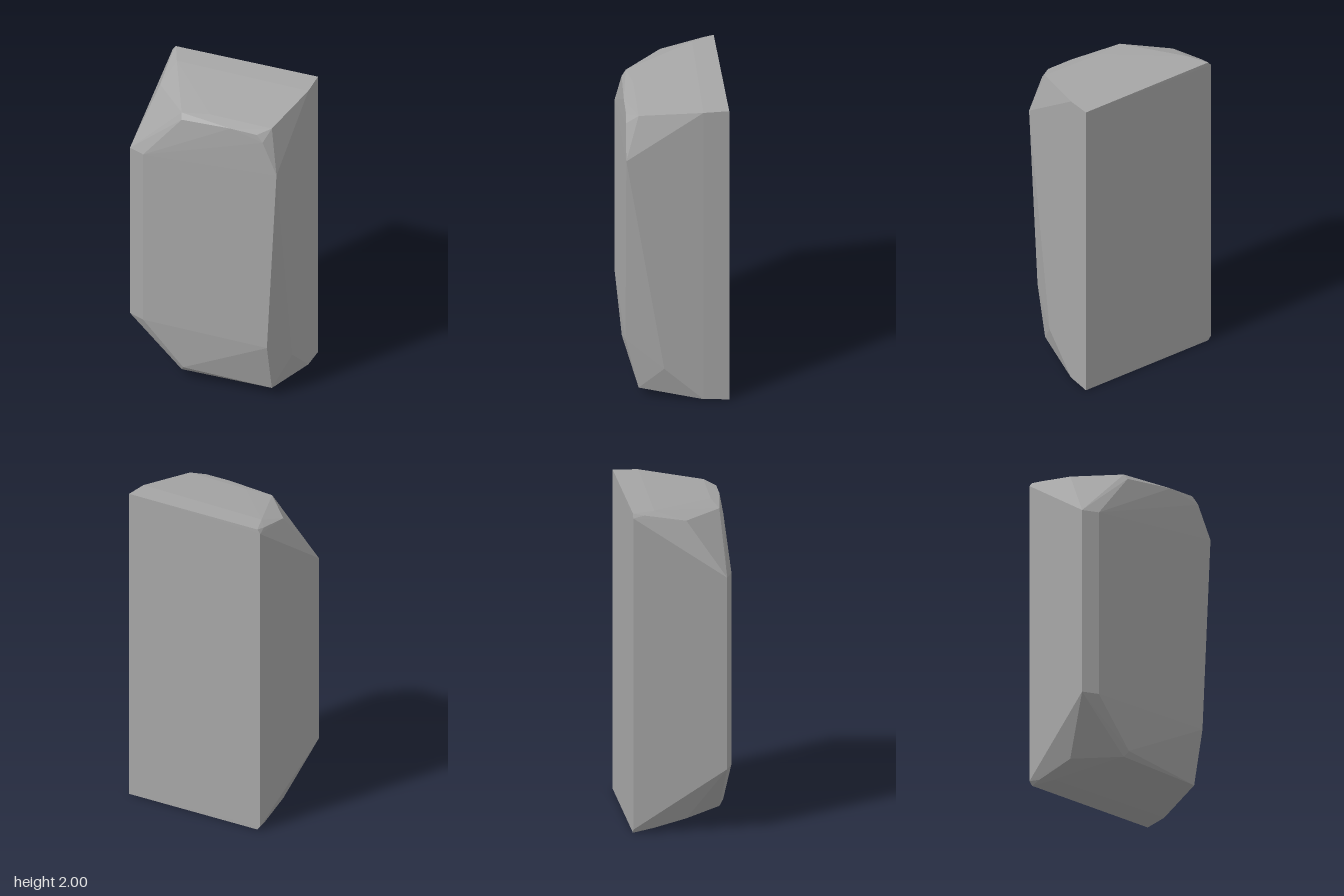
import * as THREE from 'three';
import { ConvexGeometry } from 'three/addons/geometries/ConvexGeometry.js';

export function createModel() {
  const group = new THREE.Group();
  group.name = 'stoneBlock';

  const stone = new THREE.MeshStandardMaterial({ color: 0xa6a6a6 });
  stone.name = 'grey stone';

  // Corners of the chipped block, cut from one convex slab
  const corners = [
    // back edges, with a small nick on the -x side
    [0.49, 2, -0.31], [0.49, 0, -0.31],
    [-0.42, 2, -0.29], [-0.42, 0, -0.29],
    [-0.44, 1.975, -0.29], [-0.44, 0.025, -0.29],
    // flat strips along the top and bottom
    [0.49, 1.995, -0.155], [-0.36, 1.995, -0.155], [-0.42, 1.985, -0.22],
    [0.49, 0.008, -0.155], [-0.36, 0.008, -0.155], [-0.42, 0.015, -0.22],
    // bevelled -x front edge
    [-0.49, 1.6, 0.27], [-0.49, 0.4, 0.27],
    [-0.39, 1.6, 0.307], [-0.39, 0.4, 0.307],
    // upper front chips
    [-0.39, 1.935, 0.035], [-0.16, 1.935, 0.26], [-0.15, 1.9, 0.285],
    [0.01, 1.945, 0.228], [0.17, 1.927, 0.298], [0.34, 1.924, 0.298],
    [0.41, 1.945, 0.228], [0.38, 1.88, 0.302], [0.472, 1.67, 0.307],
    // lower front chips
    [-0.39, 0.07, 0.035], [-0.16, 0.07, 0.26], [-0.14, 0.105, 0.285],
    [0.41, 0.4, 0.307], [0.41, 0.06, 0.228], [0.482, 0.225, 0.08],
  ].map((p) => new THREE.Vector3(...p));

  const block = new THREE.Mesh(new ConvexGeometry(corners), stone);
  block.name = 'block';
  group.add(block);
  return group;
}
